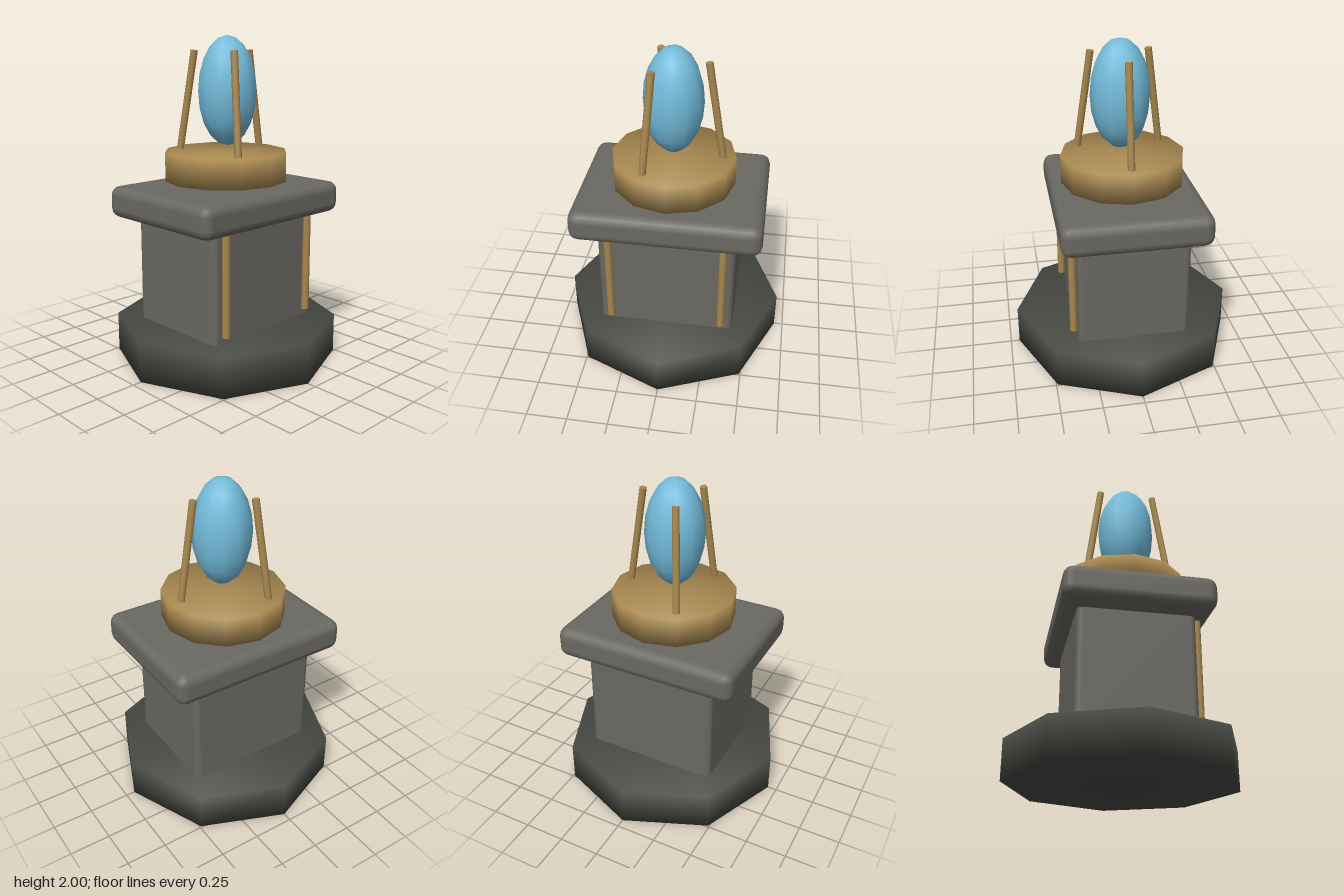
import * as THREE from 'three';
import { mergeVertices } from 'three/addons/utils/BufferGeometryUtils.js';
import { RoundedBoxGeometry } from 'three/addons/geometries/RoundedBoxGeometry.js';

function material(name, color) {
  const m = new THREE.MeshStandardMaterial({ color });
  m.name = name;
  return m;
}

// Cylinder whose rim normals blend softly between caps and side
function softCylinder(radius, height, sides) {
  const g = new THREE.CylinderGeometry(radius, radius, height, sides);
  g.deleteAttribute('uv');
  g.deleteAttribute('normal');
  const soft = mergeVertices(g);
  soft.computeVertexNormals();
  return soft;
}

export function createModel() {
  const model = new THREE.Group();
  model.name = 'crystalPedestal';

  const darkStone = material('dark stone', 0x464842);
  const stone = material('grey stone', 0x6a6862);
  const brass = material('brass', 0xa88850);
  const crystalBlue = material('crystal blue', 0x72bbda);

  const add = (name, geometry, mat, x, y, z) => {
    const mesh = new THREE.Mesh(geometry, mat);
    mesh.name = name;
    mesh.position.set(x, y, z);
    model.add(mesh);
    return mesh;
  };

  // Straight round bar between two points
  const rod = (name, from, to, radius) => {
    const dir = to.clone().sub(from);
    const mid = from.clone().add(to).multiplyScalar(0.5);
    const mesh = add(name, new THREE.CylinderGeometry(radius, radius, dir.length(), 8), brass, mid.x, mid.y, mid.z);
    mesh.quaternion.setFromUnitVectors(new THREE.Vector3(0, 1, 0), dir.normalize());
  };

  // Eight-sided foot, column and overhanging slab
  add('base', softCylinder(0.695, 0.245, 8), darkStone, 0, 0.1225, 0);
  add('column', new RoundedBoxGeometry(0.84, 0.76, 0.69, 2, 0.035), stone, 0, 0.58, 0);
  add('slab', new RoundedBoxGeometry(1.15, 0.195, 0.89, 2, 0.06), stone, 0, 1.0025, 0);

  // Upright trim on the front of the column
  for (const side of [-1, 1]) {
    const x = side * 0.349;
    rod(side > 0 ? 'leftTrim' : 'rightTrim',
      new THREE.Vector3(x, 0.29, 0.366), new THREE.Vector3(x, 0.93, 0.366), 0.024);
  }

  // Brass plate hovering over the slab
  add('plate', softCylinder(0.378, 0.178, 12), brass, 0, 1.217, 0);

  // Three prongs leaning in around the crystal
  for (let i = 0; i < 3; i++) {
    const a = (i * Math.PI * 2) / 3;
    const at = (r, y) => new THREE.Vector3(Math.cos(a) * r, y, Math.sin(a) * r);
    rod('prong' + (i + 1), at(0.298, 1.29), at(0.199, 1.91), 0.022);
  }

  // Egg-shaped crystal
  const crystal = new THREE.SphereGeometry(1, 12, 10);
  crystal.scale(0.18, 0.33, 0.181);
  add('crystal', crystal, crystalBlue, 0, 1.67, 0.013);

  return model;
}
